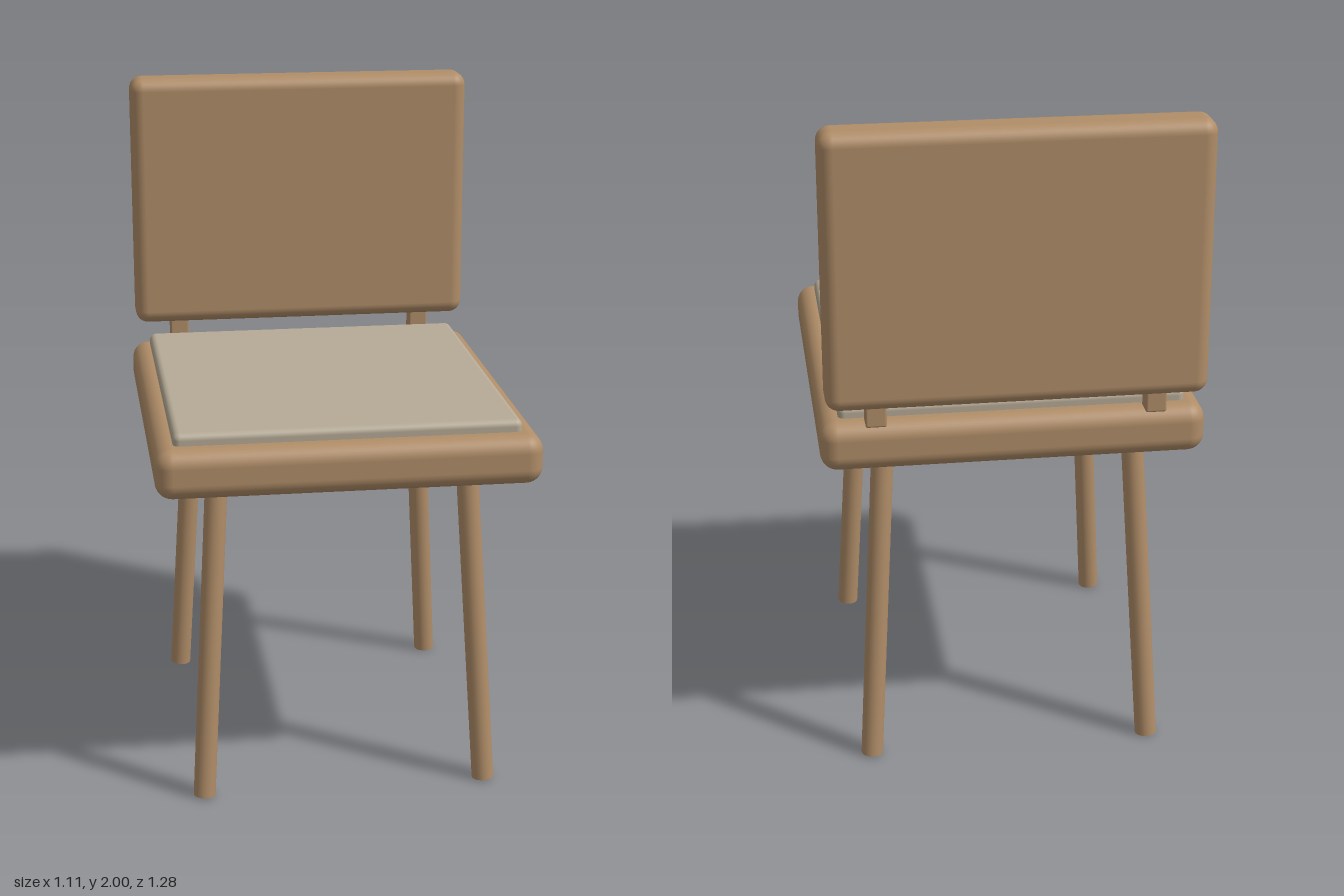
import * as THREE from 'three';
import { RoundedBoxGeometry } from 'three/addons/geometries/RoundedBoxGeometry.js';

const wood = new THREE.MeshStandardMaterial({ color: 0xb08d68 });
const fabric = new THREE.MeshStandardMaterial({ color: 0xb5aa96 });

// Rounded box given by its min and max corners
function roundedBox(name, min, max, radius, material) {
  const size = max.map((v, i) => v - min[i]);
  const mesh = new THREE.Mesh(new RoundedBoxGeometry(...size, 4, radius), material);
  mesh.position.set(...max.map((v, i) => (v + min[i]) / 2));
  mesh.name = name;
  return mesh;
}

// Round leg between two points
function leg(name, bottom, top) {
  const axis = top.clone().sub(bottom);
  const mesh = new THREE.Mesh(new THREE.CylinderGeometry(0.033, 0.033, axis.length(), 24), wood);
  mesh.position.copy(bottom).add(top).multiplyScalar(0.5);
  mesh.quaternion.setFromUnitVectors(new THREE.Vector3(0, 1, 0), axis.normalize());
  mesh.name = name;
  return mesh;
}

export function createModel() {
  const chair = new THREE.Group();
  chair.name = 'chair';

  // Seat, cushion and backrest
  chair.add(
    roundedBox('seat', [-0.557, 0.987, -0.575], [0.557, 1.135, 0.64], 0.05, wood),
    roundedBox('cushion', [-0.502, 1.1, -0.515], [0.502, 1.17, 0.577], 0.02, fabric),
    roundedBox('backrest', [-0.543, 1.2, -0.64], [0.543, 2, -0.505], 0.04, wood)
  );

  for (const side of [-1, 1]) {
    const label = side > 0 ? 'left' : 'right';

    // Short square post under the backrest
    const x = side * 0.4;
    chair.add(roundedBox(label + 'Post', [x - 0.03, 1.138, -0.6], [x + 0.03, 1.24, -0.54], 0.006, wood));

    // Splayed legs
    chair.add(
      leg(label + 'FrontLeg', new THREE.Vector3(side * 0.426, 0.005, 0.5), new THREE.Vector3(side * 0.369, 1, 0.436)),
      leg(label + 'BackLeg', new THREE.Vector3(side * 0.426, 0.005, -0.482), new THREE.Vector3(side * 0.369, 1, -0.417))
    );
  }
  return chair;
}
